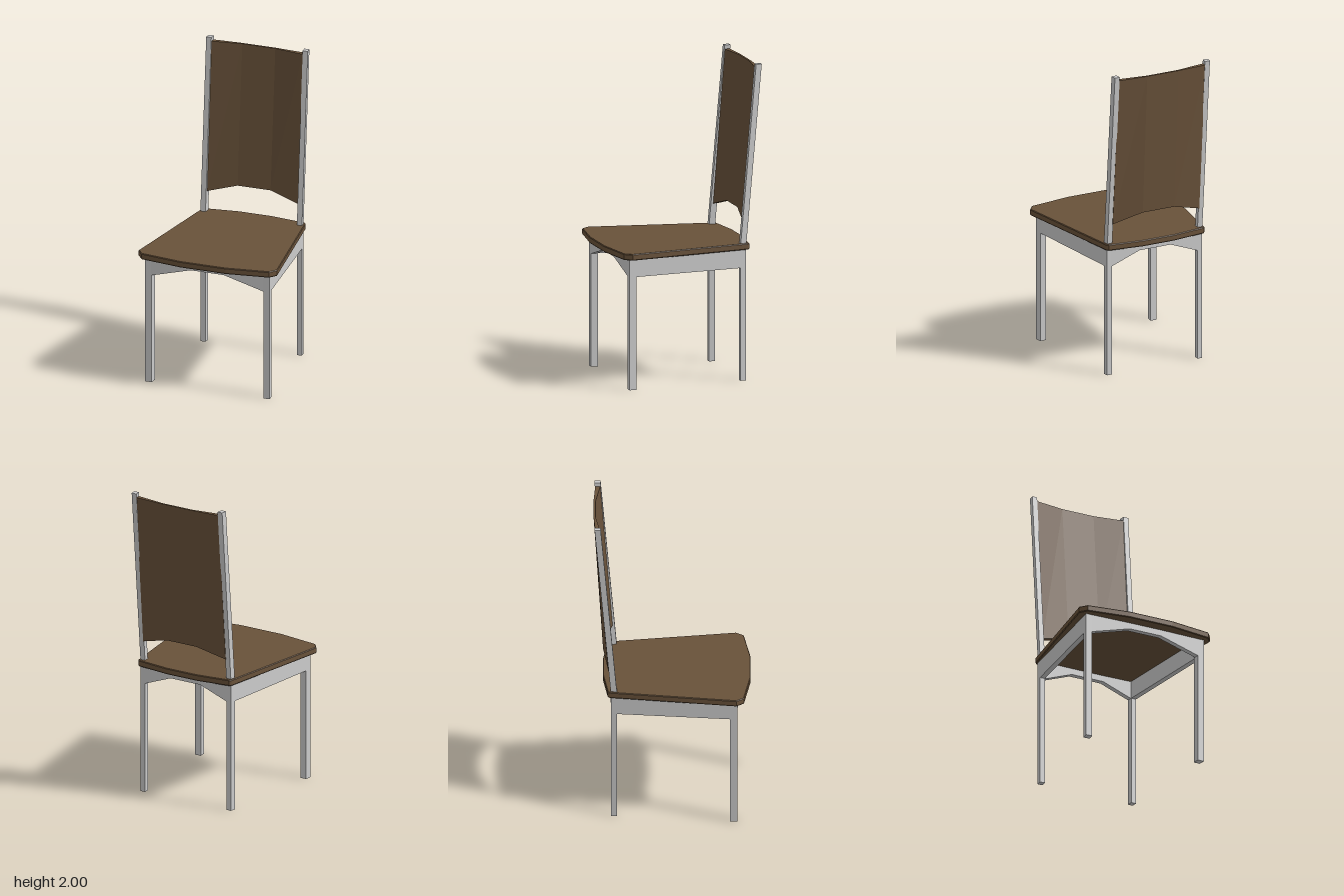
import * as THREE from 'three';

const grey = new THREE.MeshStandardMaterial({ color: 0xcccccc, flatShading: true });
const brown = new THREE.MeshStandardMaterial({ color: 0x69523a, flatShading: true });

// Closed solid through a run of four-cornered cross-sections
function loft(name, sections, material) {
  const tris = [];
  const quad = (a, b, c, d) => tris.push([a, b, c], [a, c, d]);
  for (let i = 0; i < sections.length - 1; i++) {
    const s = sections[i], t = sections[i + 1];
    for (let k = 0; k < 4; k++) {
      const n = (k + 1) % 4;
      quad(s[k], s[n], t[n], t[k]);
    }
  }
  const first = sections[0], last = sections[sections.length - 1];
  quad(first[3], first[2], first[1], first[0]);
  quad(...last);

  // Turn the faces outward whichever way the sections run
  const v = (p) => new THREE.Vector3(...p);
  let volume = 0;
  for (const [a, b, c] of tris) volume += v(a).dot(v(b).cross(v(c)));
  if (volume < 0) tris.forEach((t) => t.reverse());

  const geometry = new THREE.BufferGeometry();
  geometry.setAttribute('position', new THREE.Float32BufferAttribute(tris.flat(2), 3));
  geometry.computeVertexNormals();
  const mesh = new THREE.Mesh(geometry, material);
  mesh.name = name;
  return mesh;
}

// Outer face of the tapering frame at a given depth
const outerX = (z) => 0.415 - (0.405 - z) * 0.102;

// Horizontal four-cornered section that follows the taper of the frame
const foot = (side, y, zFront, zBack, width, shift = 0) => [
  [side * outerX(zFront), y, zFront + shift],
  [side * (outerX(zFront) - width), y, zFront + shift],
  [side * (outerX(zBack) - width), y, zBack + shift],
  [side * outerX(zBack), y, zBack + shift],
];

// Cross rail with an arched lower edge and a slight outward bow
function crossRail(name, half, zOuter, zInner, bow) {
  const section = (x, y, dz) => [
    [x, y, zOuter + dz], [x, 0.83, zOuter + dz],
    [x, 0.83, zInner + dz], [x, y, zInner + dz],
  ];
  return loft(name, [
    section(-half, 0.715, 0), section(-0.11, 0.79, bow),
    section(0.11, 0.79, bow), section(half, 0.715, 0),
  ], grey);
}

export function createModel() {
  const chair = new THREE.Group();
  chair.name = 'chair';

  // Seat board: tapering outline with bowed front and back edges
  const halfOutline = [[0.15, 0.482], [0.423, 0.442], [0.458, 0.397], [0.342, -0.388], [0.333, -0.398], [0.11, -0.427]];
  const outline = [...halfOutline, ...halfOutline.map(([x, z]) => [-x, z]).reverse()];
  const shape = new THREE.Shape(outline.map(([x, z]) => new THREE.Vector2(x, -z)));
  const seatGeometry = new THREE.ExtrudeGeometry(shape, {
    depth: 0.03, bevelEnabled: true, bevelThickness: 0.005, bevelSize: 0.004, bevelSegments: 1,
  });
  seatGeometry.rotateX(-Math.PI / 2).translate(0, 0.835, 0);
  const seat = new THREE.Mesh(seatGeometry, brown);
  seat.name = 'seat';
  chair.add(seat);

  for (const side of [1, -1]) {
    const label = side > 0 ? 'left' : 'right';
    // Legs
    chair.add(loft(label + 'FrontLeg', [foot(side, 0, 0.405, 0.36, 0.042), foot(side, 0.83, 0.405, 0.36, 0.042)], grey));
    chair.add(loft(label + 'BackLeg', [foot(side, 0, -0.343, -0.381, 0.034), foot(side, 0.85, -0.343, -0.381, 0.034)], grey));
    // Leaning back post
    chair.add(loft(label + 'BackPost', [foot(side, 0.85, -0.343, -0.381, 0.034), foot(side, 2, -0.343, -0.381, 0.034, -0.102)], grey));
    // Side rail
    const end = (z) => [
      [side * outerX(z), 0.715, z], [side * outerX(z), 0.83, z],
      [side * (outerX(z) - 0.034), 0.83, z], [side * (outerX(z) - 0.034), 0.715, z],
    ];
    chair.add(loft(label + 'SideRail', [end(0.36), end(-0.343)], grey));
  }

  // Front and back rails
  chair.add(crossRail('frontRail', 0.375, 0.405, 0.37, 0.006));
  chair.add(crossRail('backRail', 0.305, -0.381, -0.347, -0.004));

  // Curved backrest panel with an arched lower edge
  const edge = (x) => [[x, 1.0, -0.37], [x, 1.975, -0.447], [x, 1.975, -0.478], [x, 1.0, -0.398]];
  const middle = (x) => [[x, 1.055, -0.395], [x, 1.975, -0.476], [x, 1.975, -0.489], [x, 1.055, -0.43]];
  chair.add(loft('backrest', [edge(-0.305), middle(-0.11), middle(0.11), edge(0.305)], brown));

  return chair;
}
